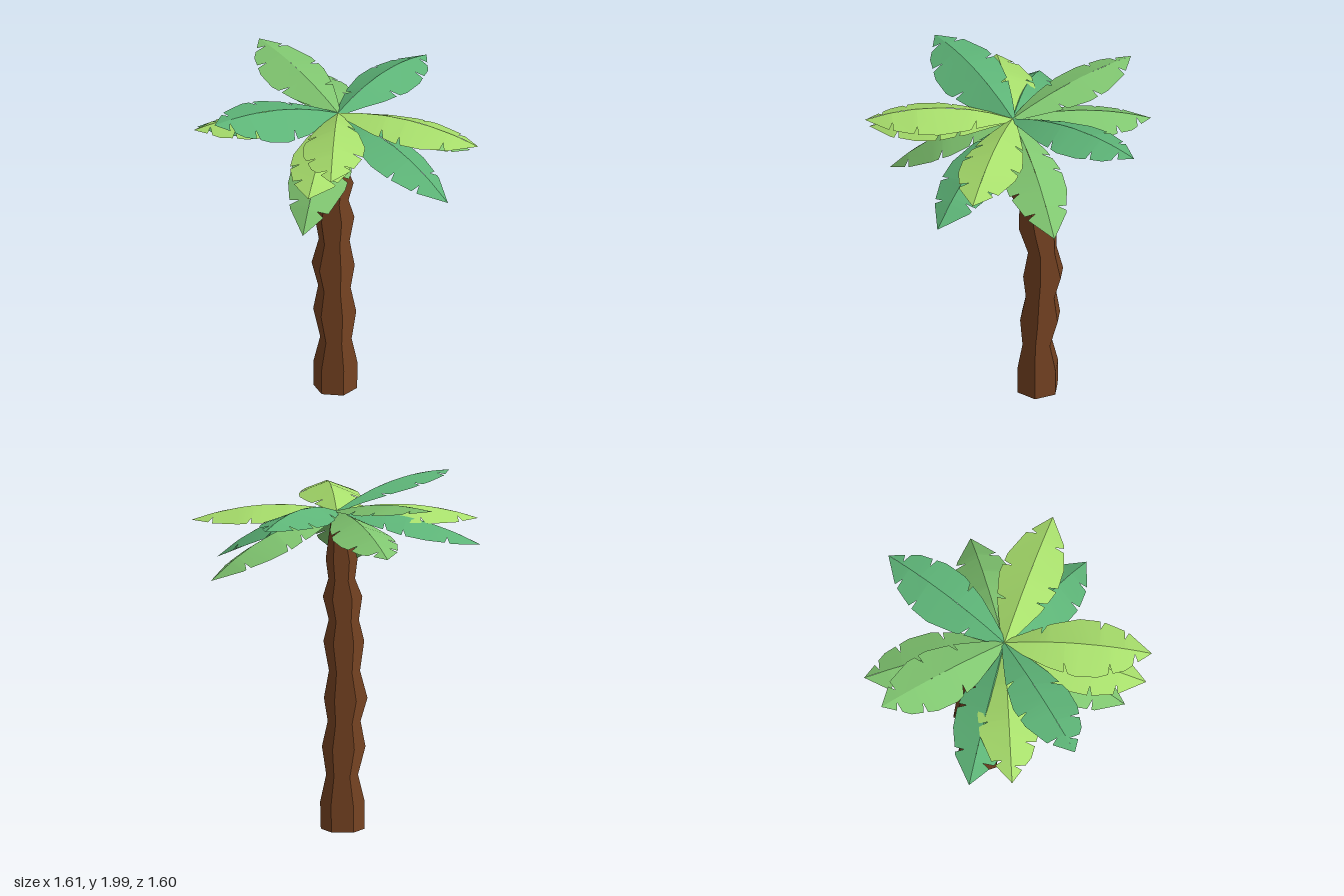
import * as THREE from 'three';

const mat = (name, color, opts = {}) => {
  const m = new THREE.MeshStandardMaterial({ color, ...opts });
  m.name = name;
  return m;
};

// Trunk rings: height, centre x, centre z, radius
const RINGS = [
  [0, 0.048, -0.12, 0.127], [0.16, 0.05, -0.12, 0.129], [0.32, 0.05, -0.116, 0.092],
  [0.49, 0.05, -0.135, 0.126], [0.64, 0.05, -0.14, 0.095], [0.78, 0.048, -0.155, 0.126],
  [0.94, 0.052, -0.148, 0.09], [1.11, 0.042, -0.122, 0.118], [1.23, 0.03, -0.1, 0.087],
  [1.36, 0.02, -0.068, 0.114], [1.46, 0.012, -0.043, 0.077], [1.57, -0.005, -0.012, 0.092],
  [1.75, 0.003, 0.0, 0.056], [1.81, 0.008, 0.01, 0.04],
];

// Six-sided column whose rows are moved onto the rings; sides are faceted around but smooth upwards
function trunkGeometry() {
  const rows = RINGS.length - 1;
  const column = new THREE.CylinderGeometry(1, 1, 1, 6, rows);
  const p = column.attributes.position;
  for (let i = 0; i < p.count; i++) {
    const [y, cx, cz, r] = RINGS[Math.round((p.getY(i) + 0.5) * rows)];
    p.setXYZ(i, cx + p.getX(i) * r, y, cz + p.getZ(i) * r);
  }
  const g = column.toNonIndexed();
  g.computeVertexNormals();
  const n = g.attributes.normal, v = new THREE.Vector3();
  for (let i = 0; i < n.count; i++) {
    v.fromBufferAttribute(n, i);
    if (Math.abs(v.y) < 0.9) n.setXYZ(i, ...v.setY(0).normalize().toArray());
  }
  return g;
}

// Half width of a frond along its length
const WIDTH = [[0, 0.02], [0.15, 0.08], [0.3, 0.135], [0.5, 0.178], [0.66, 0.172], [0.84, 0.12], [1, 0]];
function halfWidth(t) {
  const i = Math.max(1, WIDTH.findIndex(([u]) => u >= t));
  const [t0, w0] = WIDTH[i - 1], [t1, w1] = WIDTH[i];
  return w0 + (w1 - w0) * (t - t0) / (t1 - t0);
}

// Edge outline with slanted tears: [t on edge, half width]
function edgeOutline(tears) {
  const pts = WIDTH.filter(([t]) => tears.every((n) => Math.abs(t - n) > 0.03));
  for (const n of tears) {
    pts.push([n - 0.012, halfWidth(n - 0.012)], [n - 0.011, halfWidth(n) - 0.055], [n + 0.018, halfWidth(n + 0.018)]);
  }
  return pts.sort((a, b) => a[0] - b[0]);
}

// One folded frond: two creased halves hanging from an arched spine, flatter towards the tip
function frondGeometry(base, midY, tip, drops, tears) {
  const ctrl = base.clone().add(tip).multiplyScalar(0.5);
  ctrl.y = (4 * midY - base.y - tip.y) / 2;
  const spine = new THREE.QuadraticBezierCurve3(base, ctrl, tip);
  const across = new THREE.Vector3(-(tip.z - base.z), 0, tip.x - base.x).normalize();
  const pos = [], idx = [];
  [1, -1].forEach((side, s) => {
    const start = pos.length / 3;
    const outline = edgeOutline(tears[s]);
    outline.forEach(([t, w], i) => {
      const c = spine.getPoint(t);
      const up = across.clone().cross(spine.getTangent(t)).normalize();
      if (up.y < 0) up.negate();
      const e = c.clone().addScaledVector(across, side * w).addScaledVector(up, -w * drops[s] * (1.2 - 0.5 * t));
      pos.push(c.x, c.y, c.z, e.x, e.y, e.z);
      if (i === outline.length - 1) return;
      const a = start + i * 2;
      if (side > 0) idx.push(a, a + 2, a + 1, a + 1, a + 2, a + 3);
      else idx.push(a, a + 1, a + 2, a + 1, a + 3, a + 2);
    });
  });
  const g = new THREE.BufferGeometry();
  g.setAttribute('position', new THREE.Float32BufferAttribute(pos, 3));
  g.setIndex(idx);
  g.computeVertexNormals();
  return g;
}

export function createModel() {
  const tree = new THREE.Group();
  tree.name = 'palmTree';
  const two = { side: THREE.DoubleSide };
  const bark = mat('bark brown', 0x764322);
  const teal = mat('blue green leaf', 0x5db477, two);
  const lime = mat('light green leaf', 0xa8df6c, two);
  const green = mat('mid green leaf', 0x80c670, two);

  const trunk = new THREE.Mesh(trunkGeometry(), bark);
  trunk.name = 'trunk';
  tree.add(trunk);

  // Fronds: material, tip x y z, spine height halfway, fold depth of each half
  const fronds = [
    [teal, -0.81, 1.985, 0.155, 1.975, 0.1, 0.75],
    [teal, 0.735, 1.88, -0.43, 1.935],
    [teal, 0.435, 1.5, 0.68, 1.755],
    [teal, -0.68, 1.665, -0.45, 1.82],
    [lime, -0.79, 1.77, -0.225, 1.87],
    [lime, -0.34, 1.835, 0.8, 1.92],
    [lime, -0.45, 1.71, 0.725, 1.84],
    [lime, 0.67, 1.765, 0.56, 1.87],
    [green, -0.16, 1.975, -0.8, 1.95, 0.25, 0.4],
    [green, 0.13, 1.72, -0.8, 1.84],
    [green, 0.8, 1.5, 0.1, 1.75],
    [green, -0.435, 1.41, 0.6, 1.72],
  ];
  const tearSets = [[0.32, 0.58, 0.86], [0.42, 0.74, 0.9], [0.25, 0.66, 0.83], [0.36, 0.5, 0.8]];
  const crown = new THREE.Group();
  crown.name = 'crown';
  fronds.forEach(([material, x, y, z, midY, dropA = 0.45, dropB = 0.45], i) => {
    const base = new THREE.Vector3(0.01, y < 1.6 ? 1.82 : 1.85, 0.02);
    const tears = [tearSets[i % 4], tearSets[(i + 1) % 4]];
    const frond = new THREE.Mesh(
      frondGeometry(base, midY, new THREE.Vector3(x, y, z), [dropA, dropB], tears), material);
    frond.name = `frond${i + 1}`;
    crown.add(frond);
  });
  tree.add(crown);
  return tree;
}
